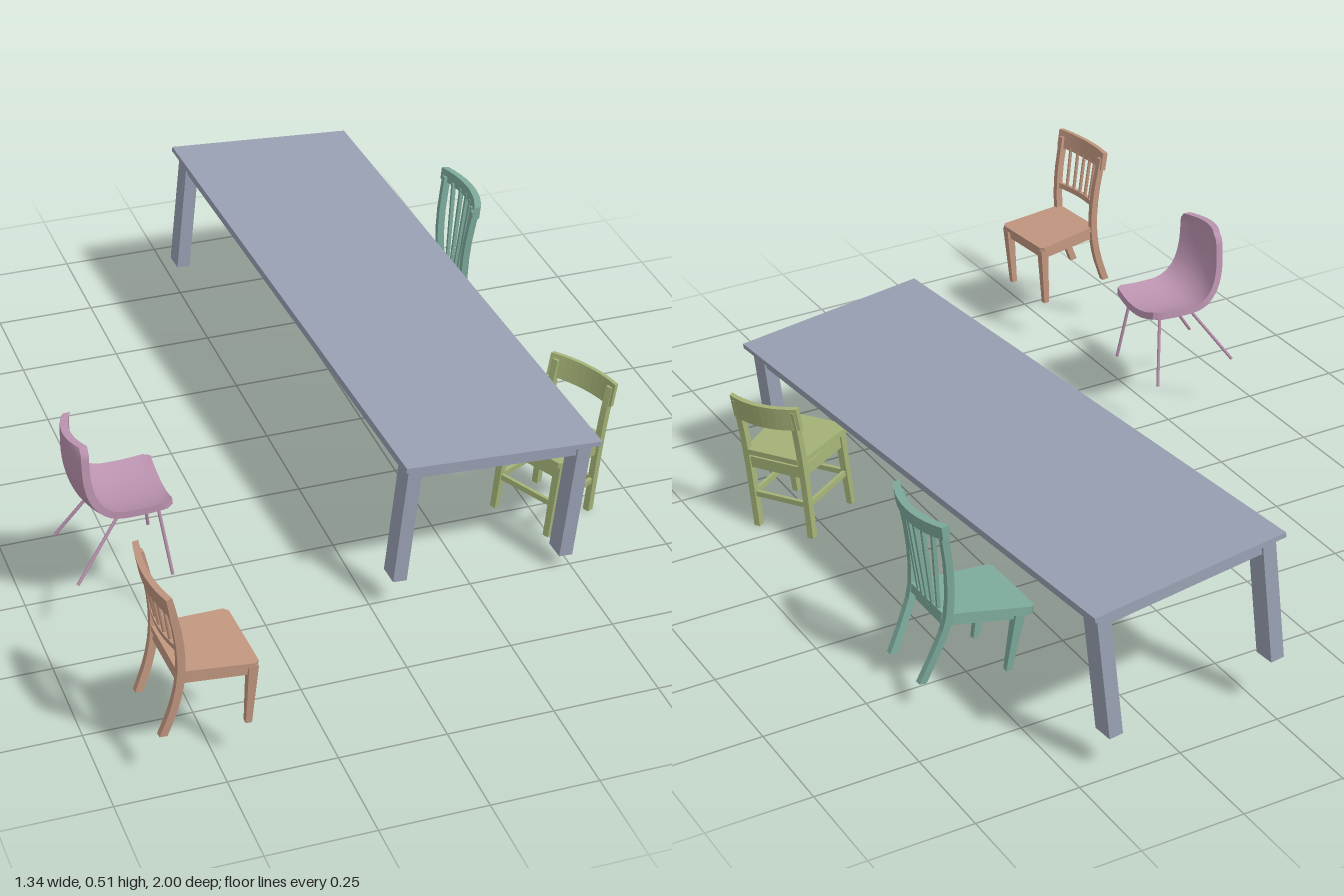
import * as THREE from 'three';

const V = (x, y, z) => new THREE.Vector3(x, y, z);
const mat = (name, color) => Object.assign(new THREE.MeshStandardMaterial({ color }), { name });

function add(group, name, geometry, material) {
  const mesh = new THREE.Mesh(geometry, material);
  mesh.name = name;
  group.add(mesh);
  return mesh;
}

function block(group, name, m, size, pos) {
  add(group, name, new THREE.BoxGeometry(...size), m).position.set(...pos);
}

// Straight square bar between two points, optionally tapered to its top
function bar(group, name, m, a, b, w, wTop = w) {
  const dir = b.clone().sub(a);
  const g = new THREE.CylinderGeometry(wTop * Math.SQRT1_2, w * Math.SQRT1_2, dir.length(), 4);
  g.rotateY(Math.PI / 4);
  const flat = g.toNonIndexed();
  flat.computeVertexNormals();
  const mesh = add(group, name, flat, m);
  mesh.position.copy(a).add(b).multiplyScalar(0.5);
  mesh.quaternion.setFromUnitVectors(V(0, 1, 0), dir.normalize());
}

// Round rod between two points
function rod(group, name, m, a, b, r) {
  const dir = b.clone().sub(a);
  const mesh = add(group, name, new THREE.CylinderGeometry(r, r, dir.length(), 8), m);
  mesh.position.copy(a).add(b).multiplyScalar(0.5);
  mesh.quaternion.setFromUnitVectors(V(0, 1, 0), dir.normalize());
}

// Curved back post: side profile extruded in z, then flared sideways with height
function post(group, m, pts, depth, width, zBottom, zTop, side) {
  const curve = new THREE.SplineCurve(pts.map(p => new THREE.Vector2(...p))).getPoints(10);
  const fore = curve.map(p => new THREE.Vector2(p.x + depth / 2, p.y));
  const aft = curve.map(p => new THREE.Vector2(p.x - depth / 2, p.y)).reverse();
  const g = new THREE.ExtrudeGeometry(new THREE.Shape([...fore, ...aft]), { depth: width, bevelEnabled: false });
  const h = pts[pts.length - 1][1], p = g.attributes.position;
  for (let i = 0; i < p.count; i++) {
    p.setZ(i, p.getZ(i) - width / 2 + side * (zBottom + (zTop - zBottom) * p.getY(i) / h));
  }
  g.computeVertexNormals();
  add(group, 'backPost', g, m);
}

// Rail bowed backwards in plan
function bowedRail(group, name, m, w, bow, thick, h, x, y, lean) {
  const n = 10, line = [];
  for (let i = 0; i <= n; i++) {
    const t = 2 * i / n - 1;
    line.push([-bow * (1 - t * t), t * w / 2]);
  }
  const shape = new THREE.Shape([
    ...line.map(([a, b]) => new THREE.Vector2(a - thick / 2, b)),
    ...line.map(([a, b]) => new THREE.Vector2(a + thick / 2, b)).reverse(),
  ]);
  const g = new THREE.ExtrudeGeometry(shape, { depth: h, bevelEnabled: false });
  g.rotateX(-Math.PI / 2);
  const mesh = add(group, name, g, m);
  mesh.position.set(x, y, 0);
  mesh.rotation.z = lean;
}

// Seat board, tapering to the back, with clipped corners
function seatBoard(group, m, xBack, xFront, wBack, wFront, top, thick) {
  const c = 0.01, b = wBack / 2, f = wFront / 2;
  const half = [[xBack, b - c], [xBack + c, b], [xFront - c, f], [xFront, f - c]];
  const pts = [...half, ...half.map(([x, z]) => [x, -z]).reverse()];
  const g = new THREE.ExtrudeGeometry(new THREE.Shape(pts.map(p => new THREE.Vector2(...p))),
    { depth: thick, bevelEnabled: false });
  g.rotateX(-Math.PI / 2);
  g.translate(0, top - thick, 0);
  add(group, 'seat', g, m);
}

// Frame of four rails between leg corners
function frame(group, name, m, xb, xf, zb, zf, y, w, h) {
  for (const s of [-1, 1]) {
    const len = Math.hypot(xf - xb, zf - zb);
    const rail = add(group, name, new THREE.BoxGeometry(len, h, w), m);
    rail.position.set((xb + xf) / 2, y, s * (zb + zf) / 2);
    rail.rotation.y = -s * Math.atan2(zf - zb, xf - xb);
  }
  block(group, name, m, [w, h, 2 * zf], [xf, y, 0]);
  block(group, name, m, [w, h, 2 * zb], [xb, y, 0]);
}

function table(m) {
  const g = new THREE.Group(), H = 0.325, X = 0.488, Z = 1.548;
  block(g, 'tableTop', m, [X, 0.012, Z], [0, H - 0.006, 0]);
  for (const s of [-1, 1]) {
    block(g, 'apron', m, [0.012, 0.034, Z - 0.05], [s * (X / 2 - 0.026), H - 0.029, 0]);
    block(g, 'apron', m, [X - 0.05, 0.034, 0.012], [0, H - 0.029, s * (Z / 2 - 0.03)]);
    for (const t of [-1, 1]) {
      block(g, 'tableLeg', m, [0.034, H - 0.012, 0.054], [s * (X / 2 - 0.032), (H - 0.012) / 2, t * (Z / 2 - 0.045)]);
    }
  }
  return g;
}

// Chairs face +x in their own frame
function spindleChair(m) {
  const g = new THREE.Group();
  seatBoard(g, m, -0.085, 0.095, 0.175, 0.197, 0.168, 0.012);
  frame(g, 'apron', m, -0.075, 0.082, 0.076, 0.084, 0.145, 0.01, 0.026);
  for (const s of [-1, 1]) {
    bar(g, 'frontLeg', m, V(0.09, 0, s * 0.08), V(0.083, 0.158, s * 0.085), 0.014, 0.022);
    post(g, m, [[-0.102, 0], [-0.083, 0.08], [-0.078, 0.165], [-0.092, 0.26], [-0.122, 0.36]], 0.018, 0.015, 0.078, 0.092, s);
  }
  bowedRail(g, 'crestRail', m, 0.212, 0.014, 0.014, 0.047, -0.114, 0.33, 0.27);
  bowedRail(g, 'lowerRail', m, 0.17, 0.012, 0.01, 0.014, -0.086, 0.222, 0.2);
  for (let i = -2; i <= 2; i++) {
    const bow = 0.012 * (1 - i * i / 9);
    rod(g, 'spindle', m, V(-0.087 - bow, 0.23, i * 0.027), V(-0.114 - bow, 0.335, i * 0.029), 0.0045);
  }
  return g;
}

function shellChair(m) {
  const g = new THREE.Group();
  const curve = new THREE.SplineCurve([[-0.125, 0.35], [-0.114, 0.26], [-0.088, 0.2], [-0.04, 0.168], [0.03, 0.17], [0.1, 0.183]]
    .map(p => new THREE.Vector2(...p)));
  // Dished shell: a box bent along the profile, sides raised, corners narrowed
  const shell = new THREE.BoxGeometry(1, 1, 1, 24, 1, 10), p = shell.attributes.position;
  for (let i = 0; i < p.count; i++) {
    const u = p.getX(i) + 0.5, v = p.getZ(i) * 2;
    const c = curve.getPointAt(u), t = curve.getTangentAt(u);
    const off = 0.02 * v * v + (p.getY(i) - 0.5) * 0.018;
    const end = Math.max(0, Math.abs(u - 0.5) * 2 - 0.9) / 0.1;
    const half = 0.082 + 0.016 * Math.min(1, u * 1.8) - 0.012 * end * end;
    p.setXYZ(i, c.x - t.y * off, c.y + t.x * off, v * half);
  }
  shell.computeVertexNormals();
  add(g, 'seatShell', shell, m);
  for (const s of [-1, 1]) {
    rod(g, 'frontLeg', m, V(0.11, 0, s * 0.1), V(0.07, 0.172, s * 0.07), 0.004);
    rod(g, 'backLeg', m, V(-0.112, 0, s * 0.1), V(-0.02, 0.16, s * 0.07), 0.004);
    rod(g, 'underRail', m, V(0.07, 0.168, s * 0.07), V(-0.02, 0.158, s * 0.07), 0.004);
  }
  return g;
}

function kitchenChair(m) {
  const g = new THREE.Group();
  seatBoard(g, m, -0.088, 0.098, 0.165, 0.195, 0.215, 0.014);
  frame(g, 'apron', m, -0.078, 0.08, 0.074, 0.08, 0.178, 0.01, 0.03);
  frame(g, 'stretcher', m, -0.08, 0.08, 0.078, 0.08, 0.088, 0.009, 0.014);
  for (const s of [-1, 1]) {
    bar(g, 'frontLeg', m, V(0.082, 0, s * 0.08), V(0.08, 0.203, s * 0.08), 0.015, 0.019);
    post(g, m, [[-0.084, 0], [-0.08, 0.1], [-0.078, 0.2], [-0.08, 0.28], [-0.086, 0.35]], 0.018, 0.016, 0.078, 0.08, s);
  }
  bowedRail(g, 'crestRail', m, 0.19, 0.018, 0.012, 0.06, -0.08, 0.302, 0.08);
  return g;
}

function fanChair(m) {
  const g = new THREE.Group();
  seatBoard(g, m, -0.08, 0.14, 0.16, 0.205, 0.169, 0.02);
  frame(g, 'apron', m, -0.065, 0.105, 0.062, 0.08, 0.142, 0.01, 0.018);
  for (const s of [-1, 1]) {
    bar(g, 'frontLeg', m, V(0.106, 0, s * 0.076), V(0.11, 0.15, s * 0.08), 0.014, 0.024);
    post(g, m, [[-0.108, 0], [-0.085, 0.08], [-0.07, 0.165], [-0.088, 0.28], [-0.122, 0.39]], 0.018, 0.016, 0.069, 0.098, s);
  }
  bowedRail(g, 'crestRail', m, 0.225, 0.026, 0.018, 0.032, -0.117, 0.376, 0.27);
  for (let i = -2; i <= 2; i++) {
    const bow = 0.024 * (1 - i * i / 8);
    bar(g, 'backSlat', m, V(-0.07 - bow * 0.2, 0.16, i * 0.022), V(-0.116 - bow, 0.382, i * 0.033), 0.008, 0.01);
  }
  return g;
}

export function createModel() {
  const root = new THREE.Group();
  const tilt = V(0.0945, 0.9946, 0.029).normalize();
  const place = (part, name, pos, up, yaw) => {
    part.name = name;
    part.position.set(...pos);
    part.quaternion.setFromUnitVectors(V(0, 1, 0), up)
      .multiply(new THREE.Quaternion().setFromAxisAngle(V(0, 1, 0), yaw));
    root.add(part);
  };
  place(table(mat('slateGrey', 0x979fb1)), 'table', [0.232, 0.088, -0.2245], tilt, 0.052);
  place(spindleChair(mat('warmBrown', 0xc0967f)), 'spindleChair', [-0.53, 0.123, 0.873], tilt, 0.052);
  place(shellChair(mat('dustyPink', 0xba92ae)), 'shellChair', [-0.55, 0.142, 0.31], tilt, 0);
  place(kitchenChair(mat('oliveGreen', 0xa4b377)), 'kitchenChair', [0.52, 0.0143, 0.28], tilt, Math.PI * 7 / 6);
  place(fanChair(mat('seaTeal', 0x7caa9b)), 'fanChair', [0.545, 0.052, -0.507], V(-0.155, 0.988, 0.01).normalize(), Math.PI);
  return root;
}
